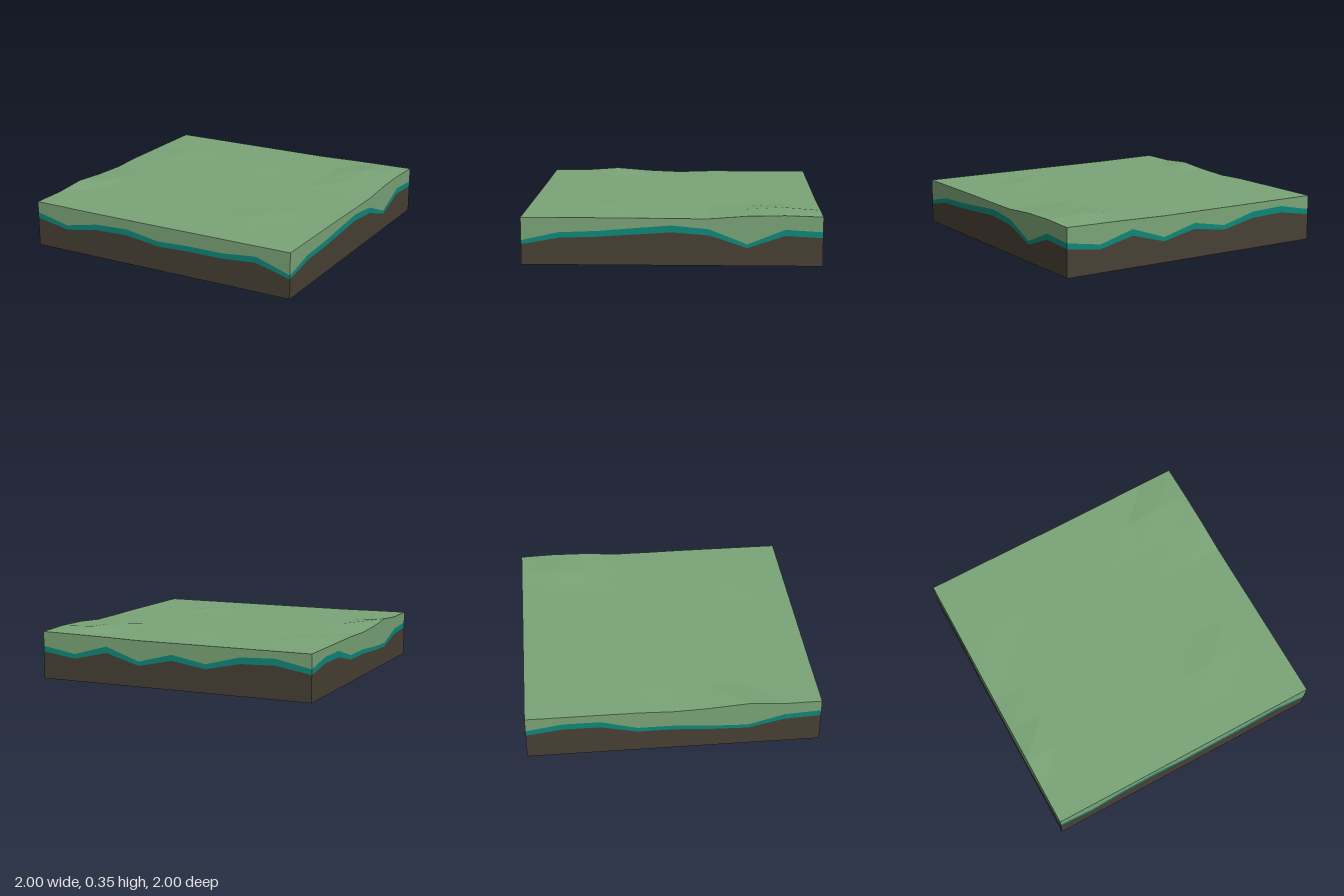
import * as THREE from 'three';

const N = 8, STEP = 2 / N;

// Turf height on the 9 x 9 grid: a gentle plain plus a few small bumps [x, z, rise]
const bumps = [
  [-1, 0.5, 0.022], [-1, 0.75, 0.004], [-1, 1, 0.005], [-0.75, 1, 0.003], [-1, 0, -0.008], [-1, 0.25, 0.002],
  [-0.75, 0.25, 0.004], [-0.75, -0.5, 0.006], [-0.5, -0.75, 0.004], [0.5, 0.5, 0.008],
  [0.25, 0.25, -0.003], [0, -0.5, 0.005], [1, 0, -0.003], [1, -0.25, -0.003],
  [0.75, -0.5, 0.015], [1, -0.5, 0.016], [0.75, -0.75, 0.03], [1, -0.75, 0.021],
  [0.5, -0.75, 0.006], [0.75, -1, 0.01], [1, -1, 0.013], [0.5, -1, 0.006],
];
const turfHeight = (x, z) => bumps.reduce(
  (h, [bx, bz, rise]) => (Math.abs(bx - x) + Math.abs(bz - z) < 0.01 ? h + rise : h), 0.319);

// Height of the bottom of the soil band round the rim: front, right, back, left
const seam = [
  0.245, 0.19, 0.24, 0.25, 0.21, 0.22, 0.22, 0.245,
  0.165, 0.22, 0.23, 0.25, 0.27, 0.245, 0.145, 0.245,
  0.23, 0.19, 0.26, 0.175, 0.24, 0.195, 0.26, 0.27,
  0.22, 0.26, 0.26, 0.19, 0.19, 0.17, 0.16, 0.23,
];

// Rim point i, walking round from the front left of the block
function rim(i) {
  const t = -1 + (i % N) * STEP;
  return [[t, 1], [1, -t], [-t, -1], [-1, t]][Math.floor(i / N) % 4];
}

// Closed band of wall between two height rules
function band(name, low, high, material) {
  const pos = [];
  for (let i = 0; i < 4 * N; i++) {
    const j = (i + 1) % (4 * N);
    const [ax, az] = rim(i), [bx, bz] = rim(j);
    const a = [ax, low(i), az], b = [bx, low(j), bz];
    const c = [bx, high(j), bz], d = [ax, high(i), az];
    pos.push(...a, ...b, ...c, ...a, ...c, ...d);
  }
  const geometry = new THREE.BufferGeometry();
  geometry.setAttribute('position', new THREE.Float32BufferAttribute(pos, 3));
  geometry.computeVertexNormals();
  const mesh = new THREE.Mesh(geometry, material);
  mesh.name = name;
  return mesh;
}

export function createModel() {
  const grass = new THREE.MeshStandardMaterial({ color: 0x7aa477 });
  const teal = new THREE.MeshStandardMaterial({ color: 0x0f8779 });
  const earth = new THREE.MeshStandardMaterial({ color: 0x474034 });
  grass.name = 'grass green';
  teal.name = 'teal';
  earth.name = 'earth brown';

  const group = new THREE.Group();
  group.name = 'groundTile';

  // Faceted grass surface
  const plane = new THREE.PlaneGeometry(2, 2, N, N).rotateX(-Math.PI / 2);
  const p = plane.attributes.position;
  for (let i = 0; i < p.count; i++) p.setY(i, turfHeight(p.getX(i), p.getZ(i)));
  const surfaceGeometry = plane.toNonIndexed();
  surfaceGeometry.computeVertexNormals();
  const surface = new THREE.Mesh(surfaceGeometry, grass);
  surface.name = 'grassSurface';

  // Flat underside
  const underside = new THREE.Mesh(new THREE.PlaneGeometry(2, 2).rotateX(Math.PI / 2), earth);
  underside.name = 'underside';

  // Layers of the cut sides; the middle band thins where the seam dips
  const top = (i) => turfHeight(...rim(i));
  const mid = (i) => seam[i];
  const lower = (i) => seam[i] * 0.83;
  group.add(
    surface,
    underside,
    band('grassLayer', mid, top, grass),
    band('tealLayer', lower, mid, teal),
    band('earthLayer', () => 0, lower, earth),
  );
  return group;
}
